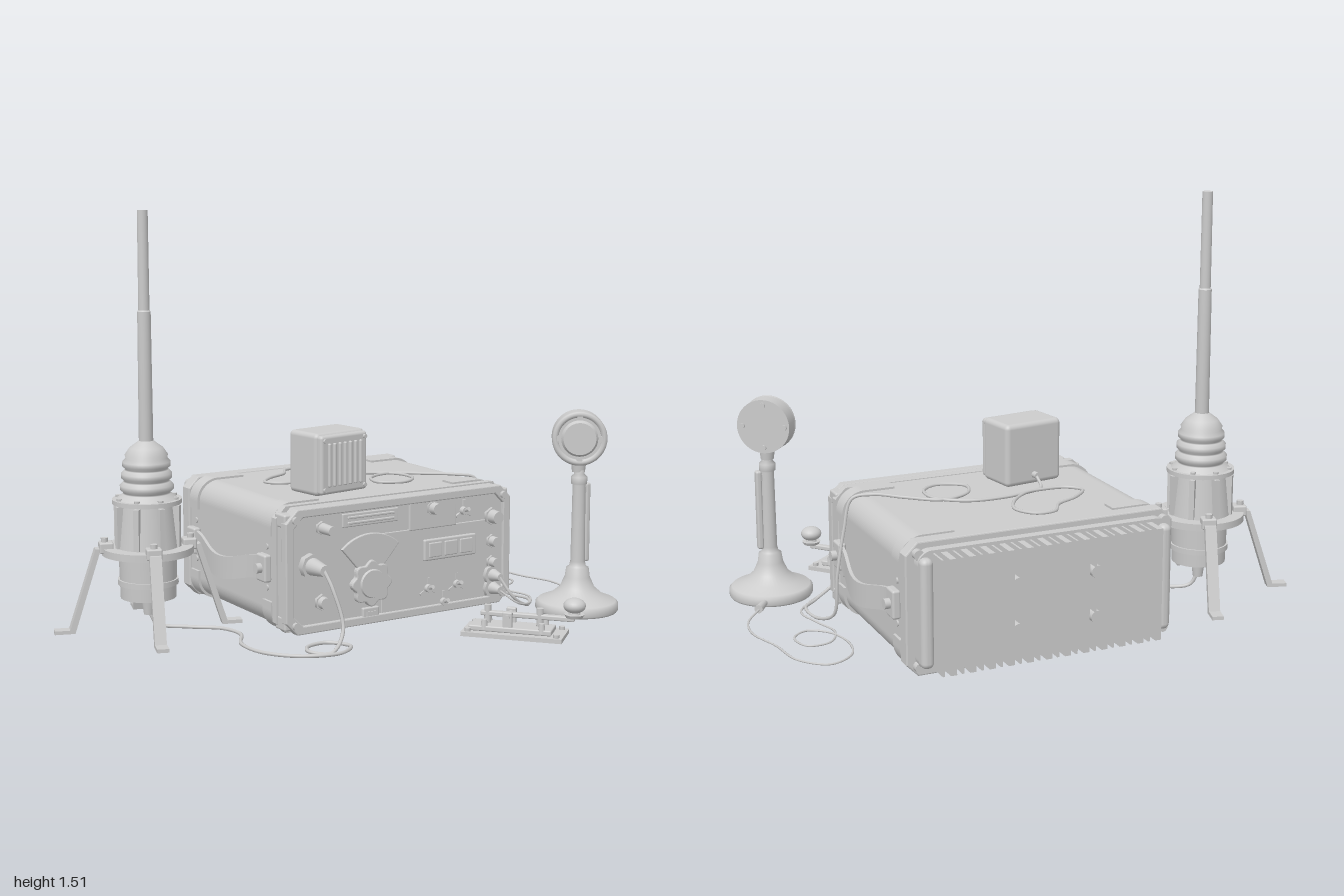
import * as THREE from 'three';
import { RoundedBoxGeometry } from 'three/addons/geometries/RoundedBoxGeometry.js';

const mat = new THREE.MeshStandardMaterial({ color: 0xcccccc });
const V = (x, y, z) => new THREE.Vector3(x, y, z);

function add(parent, name, geo, x = 0, y = 0, z = 0) {
  const m = new THREE.Mesh(geo, mat);
  m.name = name;
  m.position.set(x, y, z);
  parent.add(m);
  return m;
}
function group(parent, name, x = 0, y = 0, z = 0) {
  const g = new THREE.Group();
  g.name = name;
  g.position.set(x, y, z);
  parent.add(g);
  return g;
}
const box = (w, h, d) => new THREE.BoxGeometry(w, h, d);
const rbox = (w, h, d, r) => new RoundedBoxGeometry(w, h, d, 3, r);
const cyl = (r0, r1, h, n = 24) => new THREE.CylinderGeometry(r0, r1, h, n);
const cylZ = (r0, r1, h, n = 24) => cyl(r0, r1, h, n).rotateX(Math.PI / 2);
const cylX = (r, h, n = 16) => cyl(r, r, h, n).rotateZ(Math.PI / 2);
const lathe = (pts, n = 40) => new THREE.LatheGeometry(pts.map(p => new THREE.Vector2(...p)), n);
const extrude = (s, depth, bevel = 0) => new THREE.ExtrudeGeometry(s, {
  depth, bevelEnabled: bevel > 0, bevelSize: bevel, bevelThickness: bevel, bevelSegments: 2, curveSegments: 12 });
const cable = (pts, r, n = 220) =>
  new THREE.TubeGeometry(new THREE.CatmullRomCurve3(pts.map(p => V(...p))), n, r, 6);

// Rectangle with cut corners, centred on the origin
function octagon(w, h, c) {
  const a = w / 2, b = h / 2;
  return [[a - c, -b], [a, c - b], [a, b - c], [a - c, b], [c - a, b], [-a, b - c], [-a, c - b], [c - a, -b]]
    .map(p => new THREE.Vector2(...p));
}
function roundRect(w, h, r) {
  const s = new THREE.Shape(), a = w / 2 - r, b = h / 2 - r;
  [[a, b], [-a, b], [-a, -b], [a, -b]].forEach(([x, y], i) => s.absarc(x, y, r, i * Math.PI / 2, (i + 1) * Math.PI / 2));
  return s;
}

function buildCase(root) {
  const g = group(root, 'radioCase', 0.15, 0.25, 0);
  add(g, 'caseShell', extrude(roundRect(0.97, 0.455, 0.08), 0.66), 0, 0, -0.57);
  // Front frame with a sunken panel
  const rim = new THREE.Shape(octagon(0.975, 0.445, 0.045));
  rim.holes.push(new THREE.Path(octagon(0.925, 0.4, 0.04)));
  add(g, 'frontCollar', extrude(new THREE.Shape(octagon(0.955, 0.43, 0.045)), 0.07, 0.01), 0, 0, 0.085);
  add(g, 'frontRim', extrude(rim, 0.03, 0.004), 0, 0, 0.145);
  add(g, 'frontFlange', extrude(new THREE.Shape(octagon(0.99, 0.46, 0.04)), 0.03), 0, 0, 0.085);
  // Rear frame and heat sink
  add(g, 'rearFlange', extrude(new THREE.Shape(octagon(0.98, 0.455, 0.04)), 0.045, 0.005), 0, 0, -0.6);
  add(g, 'rearPlate', extrude(roundRect(0.93, 0.42, 0.05), 0.04), 0, 0, -0.64);
  const fins = group(g, 'heatSinkFins', -0.385, 0, -0.675);
  for (let i = 0; i < 12; i++) {
    add(fins, 'fin', box(0.022, 0.4, 0.09), i * 0.069, 0, 0);
    add(fins, 'thinFin', box(0.007, 0.4, 0.085), i * 0.069 + 0.035, 0, 0);
  }
  for (const x of [-0.15, 0.14]) for (const y of [-0.08, 0.08])
    add(fins, 'finBoss', cylZ(0.022, 0.022, 0.085, 12), 0.385 + x, y, 0);
  for (const s of [-1, 1]) {
    add(g, 'rearSideRail', rbox(0.045, 0.38, 0.05, 0.02), s * 0.44, 0, -0.645);
    for (const t of [-1, 1]) {
      add(g, 'rearBolt', cylZ(0.018, 0.018, 0.06, 12), s * 0.455, t * 0.195, -0.6);
      add(g, 'frontBolt', cylZ(0.014, 0.014, 0.02, 8), s * 0.455, t * 0.19, 0.182);
      add(g, 'latchBlock', rbox(0.04, 0.05, 0.07, 0.008), s * 0.47, t * 0.185, 0.13);
    }
  }
  // Guards wrapped round the long edges
  const guard = new THREE.Shape(), R = 0.085;
  guard.moveTo(-0.2, 0);
  guard.lineTo(-0.2, -0.01);
  guard.lineTo(-R, -0.01);
  guard.absarc(-R, -R, R - 0.01, Math.PI / 2, 0, true);
  guard.lineTo(-0.01, -0.115);
  guard.lineTo(0, -0.115);
  guard.absarc(-R, -R, R, 0, Math.PI / 2);
  const guardGeo = extrude(guard, 0.064);
  for (const sx of [-1, 1]) for (const sy of [-1, 1]) for (const z of [0.013, -0.545])
    add(g, 'edgeGuard', guardGeo, sx * 0.495, sy * 0.235, z).scale.set(sx, sy, 1);
  // Carrying straps
  for (const s of [-1, 1]) {
    const strap = box(0.012, 0.09, 0.54, 1, 1, 20);
    const geo = new THREE.BoxGeometry(0.012, 0.085, 0.54, 1, 1, 24), p = geo.attributes.position;
    strap.dispose();
    for (let i = 0; i < p.count; i++) {
      const k = Math.cos(p.getZ(i) / 0.27 * Math.PI) * 0.5 + 0.5;
      p.setX(i, p.getX(i) + s * 0.035 * k);
      p.setY(i, p.getY(i) - 0.045 * k);
    }
    geo.computeVertexNormals();
    add(g, 'sideStrap', geo, s * 0.5, 0, -0.235);
    for (const z of [0.035, -0.505]) {
      add(g, 'strapMount', rbox(0.03, 0.1, 0.065, 0.008), s * 0.5, 0, z);
      add(g, 'strapBolt', cylX(0.018, 0.03), s * 0.52, 0, z);
      for (const y of [-0.075, 0.075]) add(g, 'mountScrew', cylX(0.011, 0.012, 8), s * 0.485, y, z);
    }
  }
  add(g, 'bottomPlate', box(0.6, 0.01, 0.5), 0, -0.23, -0.23);
}

function buildPanel(root) {
  const g = group(root, 'frontPanel', 0, 0, 0.165);
  // Tuning dial with its fan-shaped scale
  const fan = new THREE.Shape(), a0 = Math.PI * 0.27, a1 = Math.PI * 0.73;
  fan.absarc(0, 0, 0.18, a0, a1);
  fan.absarc(0, 0, 0.07, a1, a0, true);
  add(g, 'dialScale', extrude(fan, 0.008, 0.003), 0.015, 0.175, 0);
  const knob = new THREE.Shape();
  for (let i = 0; i < 96; i++) {
    const a = i / 96 * Math.PI * 2, r = 0.075 + 0.007 * Math.cos(8 * a);
    knob[i ? 'lineTo' : 'moveTo'](r * Math.cos(a), r * Math.sin(a));
  }
  add(g, 'tuningDial', extrude(knob, 0.018, 0.004), 0.015, 0.175, 0);
  add(g, 'dialCap', cylZ(0.05, 0.055, 0.012, 32), 0.015, 0.175, 0.024);
  add(g, 'speakerSlotPlate', rbox(0.24, 0.05, 0.01, 0.004), 0.015, 0.415, 0.004);
  for (const y of [0.405, 0.425]) add(g, 'speakerSlot', rbox(0.2, 0.009, 0.014, 0.003), 0.015, y, 0.008);
  add(g, 'servicePort', rbox(0.07, 0.045, 0.016, 0.005), 0.015, 0.062, 0.005);
  add(g, 'portInset', box(0.04, 0.016, 0.02), 0.015, 0.062, 0.007);
  // Raised control plates
  add(g, 'lowerPlate', rbox(0.55, 0.31, 0.008, 0.003), 0.34, 0.195, 0);
  add(g, 'upperPlate', rbox(0.21, 0.12, 0.012, 0.004), 0.29, 0.405, 0.002);
  add(g, 'displayFrame', rbox(0.235, 0.08, 0.018, 0.006), 0.365, 0.265, 0.006);
  for (let i = 0; i < 3; i++) add(g, 'displayWindow', rbox(0.058, 0.055, 0.024, 0.004), 0.295 + i * 0.07, 0.265, 0.008);
  // Knobs and sockets: x, y, radius, depth
  [[0.29, 0.42, 0.03, 0.04], [0.56, 0.36, 0.034, 0.05], [0.56, 0.265, 0.026, 0.04], [0.56, 0.185, 0.024, 0.04],
    [-0.19, 0.4, 0.025, 0.08], [-0.19, 0.13, 0.03, 0.035]].forEach(([x, y, r, d]) => {
    add(g, 'knobCollar', cylZ(r, r, 0.016, 6), x, y, 0.005);
    add(g, 'knob', cylZ(r * 0.68, r * 0.8, d), x, y, d / 2);
  });
  // Toggle switches
  for (const [x, y] of [[0.43, 0.395], [0.27, 0.12], [0.4, 0.12], [0.34, 0.06]]) {
    for (let i = 0; i < 3; i++) {
      const a = Math.PI / 2 + i * Math.PI * 2 / 3;
      add(g, 'toggleMark', box(0.022, 0.009, 0.01), x + 0.03 * Math.cos(a), y + 0.03 * Math.sin(a), 0.004).rotation.z = a;
    }
    add(g, 'toggleBase', cylZ(0.014, 0.016, 0.02, 12), x, y, 0.008);
    add(g, 'toggleLever', cylZ(0.008, 0.005, 0.035, 10), x, y + 0.005, 0.022).rotation.x = -0.4;
  }
  // Cable plugs
  add(g, 'antennaSocket', cylZ(0.045, 0.045, 0.03, 8), -0.24, 0.27, 0.012);
  add(g, 'antennaPlug', cylZ(0.02, 0.034, 0.1), -0.24, 0.27, 0.06);
  for (const y of [0.135, 0.085]) {
    add(g, 'audioSocket', cylZ(0.038, 0.038, 0.02, 8), 0.56, y, 0.01);
    add(g, 'audioPlug', cylZ(0.013, 0.028, 0.06), 0.56, y, 0.035);
  }
}

function buildAntenna(root) {
  const g = group(root, 'antenna', -0.675, 0, -0.235);
  add(g, 'mast', lathe([[0, 0.68], [0.026, 0.68], [0.024, 1.16], [0.024, 1.16], [0.02, 1.165], [0.02, 1.165], [0.019, 1.515], [0.019, 1.515], [0, 1.515]], 20));
  const bellows = [[0.125, 0.475], [0.1, 0.5], [0.086, 0.51]];
  for (let i = 0; i < 3; i++) {
    const y = 0.515 + i * 0.042, r = 0.096 - i * 0.005;
    bellows.push([r - 0.012, y], [r, y + 0.01], [r, y + 0.026], [r - 0.012, y + 0.038]);
  }
  bellows.push([0.077, 0.65], [0.06, 0.675], [0.026, 0.7]);
  add(g, 'springBoot', lathe(bellows));
  add(g, 'topFlange', cyl(0.125, 0.125, 0.016, 40), 0, 0.483, 0);
  add(g, 'baseHousing', cyl(0.098, 0.115, 0.16, 40), 0, 0.395, 0);
  add(g, 'legRing', cyl(0.165, 0.165, 0.026, 40), 0, 0.305, 0);
  add(g, 'lowerHousing', cyl(0.105, 0.1, 0.17, 40), 0, 0.215, 0);
  add(g, 'lowerBand', cyl(0.109, 0.109, 0.02, 40), 0, 0.19, 0);
  add(g, 'cableGland', cyl(0.028, 0.018, 0.07), 0, 0.1, 0);
  for (let i = 0; i < 8; i++) {
    const a = i * Math.PI / 4;
    add(g, 'flangeBolt', cyl(0.01, 0.01, 0.022, 6), 0.108 * Math.cos(a), 0.488, 0.108 * Math.sin(a));
    add(g, 'housingRib', box(0.026, 0.15, 0.02), 0.11 * Math.cos(a), 0.395, 0.11 * Math.sin(a)).rotation.y = -a;
  }
  // Four bent legs
  const leg = new THREE.Shape([[0.12, 0.318], [0.19, 0.318], [0.285, 0.027], [0.34, 0.027], [0.34, 0.014],
    [0.267, 0.014], [0.175, 0.303], [0.12, 0.303]].map(p => new THREE.Vector2(...p)));
  const legGeo = extrude(leg, 0.042).translate(0, 0, -0.021);
  for (let i = 0; i < 4; i++) {
    const l = group(g, 'leg');
    l.rotation.y = -0.31 + i * Math.PI / 2;
    add(l, 'legStrip', legGeo);
    add(l, 'legClamp', rbox(0.05, 0.04, 0.055, 0.006), 0.15, 0.32, 0);
    add(l, 'legBolt', cyl(0.013, 0.013, 0.02, 8), 0.155, 0.345, 0);
  }
}

function buildMicrophone(root) {
  const g = group(root, 'microphone', 0.805, 0, 0.382);
  add(g, 'micBase', lathe([[0, 0.013], [0.15, 0.013], [0.155, 0.02], [0.155, 0.042], [0.145, 0.052], [0.1, 0.07],
    [0.065, 0.1], [0.047, 0.14], [0.042, 0.175], [0.032, 0.18], [0.027, 0.2], [0.024, 0.49], [0.03, 0.495],
    [0.03, 0.52], [0.02, 0.53], [0.02, 0.59], [0, 0.59]]));
  add(g, 'talkSwitch', rbox(0.022, 0.3, 0.03, 0.008), 0.036, 0.345, 0);
  add(g, 'switchPivot', box(0.04, 0.025, 0.022), 0.02, 0.47, 0);
  const head = group(g, 'micHead', 0, 0.668, -0.005);
  head.rotation.y = -0.63;
  add(head, 'headDisc', cylZ(0.1, 0.1, 0.07, 48));
  add(head, 'headRim', new THREE.TorusGeometry(0.09, 0.012, 8, 48), 0, 0, 0.033);
  add(head, 'headGrille', cylZ(0.06, 0.07, 0.016, 40), 0, 0, 0.04);
  add(head, 'headNeck', cyl(0.03, 0.024, 0.05), 0, -0.105, 0);
  for (let i = 0; i < 4; i++) {
    const a = i * Math.PI / 2;
    add(head, 'headScrew', cylZ(0.011, 0.011, 0.085, 8), 0.08 * Math.cos(a), 0.08 * Math.sin(a), 0);
  }
  add(g, 'micCablePlug', cylZ(0.01, 0.016, 0.1, 12), 0.08, 0.032, -0.155).rotation.y = -0.6;
}

function buildSpeaker(root) {
  const g = group(root, 'speakerBox', -0.02, 0.595, -0.055);
  g.rotation.y = 0.15;
  add(g, 'speakerShell', rbox(0.235, 0.23, 0.16, 0.018), 0, 0, -0.012);
  add(g, 'speakerFace', rbox(0.222, 0.217, 0.03, 0.012), 0, 0, 0.073);
  for (let i = 0; i < 7; i++) add(g, 'grilleSlat', rbox(0.012, 0.16, 0.016, 0.005), (i - 3) * 0.025, 0, 0.09);
  for (const x of [-0.095, 0.095]) for (const y of [-0.09, 0.09]) add(g, 'faceScrew', cylZ(0.008, 0.008, 0.012, 8), x, y, 0.09);
  add(g, 'speakerCableGland', cylZ(0.012, 0.012, 0.03, 12), 0, -0.08, -0.1);
}

function buildKey(root) {
  const g = group(root, 'telegraphKey', 0.41, 0, 0.515);
  g.rotation.y = -0.86;
  add(g, 'keyPlate', box(0.365, 0.016, 0.155), 0, 0.012, 0);
  add(g, 'keyBase', rbox(0.3, 0.02, 0.1, 0.005), -0.01, 0.03, 0);
  for (const z of [-0.036, 0.036]) add(g, 'pivotPost', rbox(0.035, 0.06, 0.02, 0.005), -0.02, 0.065, z);
  add(g, 'pivotRod', cylZ(0.009, 0.009, 0.11, 12), -0.02, 0.078, 0);
  add(g, 'keyLever', rbox(0.34, 0.018, 0.024, 0.005), 0.045, 0.077, 0);
  add(g, 'knobSkirt', cyl(0.036, 0.03, 0.012), 0.213, 0.09, 0);
  add(g, 'knobStem', cyl(0.016, 0.022, 0.025), 0.213, 0.105, 0);
  add(g, 'keyKnob', new THREE.SphereGeometry(0.04, 24, 14).scale(1, 0.68, 1), 0.213, 0.127, 0);
  for (const x of [-0.1, 0.09]) add(g, 'adjustScrew', cyl(0.013, 0.013, 0.065, 12), x, 0.075, 0);
  for (const x of [-0.16, 0.16]) for (const z of [-0.06, 0.06]) {
    add(g, 'plateScrew', cyl(0.011, 0.011, 0.02, 8), x, 0.022, z);
    add(g, 'terminal', cyl(0.01, 0.014, 0.035, 10), x * 0.65, 0.045, z * 0.65);
  }
}

function buildCables(root) {
  const g = group(root, 'cables'), f = 0.016;
  const ground = pts => pts.map(([x, z]) => [x, f, z]);
  add(g, 'antennaCable', cable([[-0.675, 0.08, -0.235], [-0.65, 0.03, -0.22],
    ...ground([[-0.55, -0.16], [-0.46, -0.08], [-0.44, 0.02], [-0.5, 0.14], [-0.49, 0.27], [-0.4, 0.38], [-0.27, 0.42], [-0.19, 0.36],
      [-0.24, 0.28], [-0.32, 0.29], [-0.35, 0.35], [-0.29, 0.4]]),
    [-0.22, 0.08, 0.36], [-0.23, 0.21, 0.31], [-0.24, 0.27, 0.27]], 0.007));
  const top = [[-0.035, -0.16], [-0.03, -0.21], [0.06, -0.26], [0.13, -0.33], [0.165, -0.42], [0.12, -0.49], [0.05, -0.49],
    [0, -0.42], [-0.09, -0.37], [-0.15, -0.3], [-0.11, -0.25], [0, -0.24], [0.12, -0.27], [0.27, -0.26], [0.37, -0.18],
    [0.37, -0.08], [0.3, -0.03], [0.21, -0.08], [0.24, -0.17], [0.35, -0.21], [0.46, -0.13], [0.55, -0.05]];
  add(g, 'speakerCable', cable([...top.map(([x, z], i) => [x, i ? 0.486 : 0.515, z]),
    [0.62, 0.47, -0.02], [0.655, 0.36, -0.03], [0.69, 0.2, -0.05], [0.7, 0.06, -0.04], [0.73, f, 0.05],
    [0.74, f, 0.17], [0.68, f, 0.24], [0.6, 0.06, 0.26], [0.56, 0.135, 0.225]], 0.006, 300));
  add(g, 'microphoneCable', cable([[0.91, 0.03, 0.19],
    ...ground([[0.97, 0.12], [0.99, 0], [0.95, -0.14], [0.92, -0.3], [0.83, -0.38], [0.74, -0.33], [0.71, -0.22], [0.74, -0.1],
      [0.81, -0.05], [0.87, -0.1], [0.85, -0.19], [0.77, -0.19], [0.72, -0.1], [0.75, 0.02], [0.77, 0.13], [0.71, 0.22]]),
    [0.61, 0.04, 0.27], [0.56, 0.085, 0.225]], 0.004, 260));
}

export function createModel() {
  const root = new THREE.Group();
  root.name = 'fieldRadioSet';
  for (const build of [buildCase, buildPanel, buildAntenna, buildMicrophone, buildSpeaker, buildKey, buildCables]) build(root);
  return root;
}
